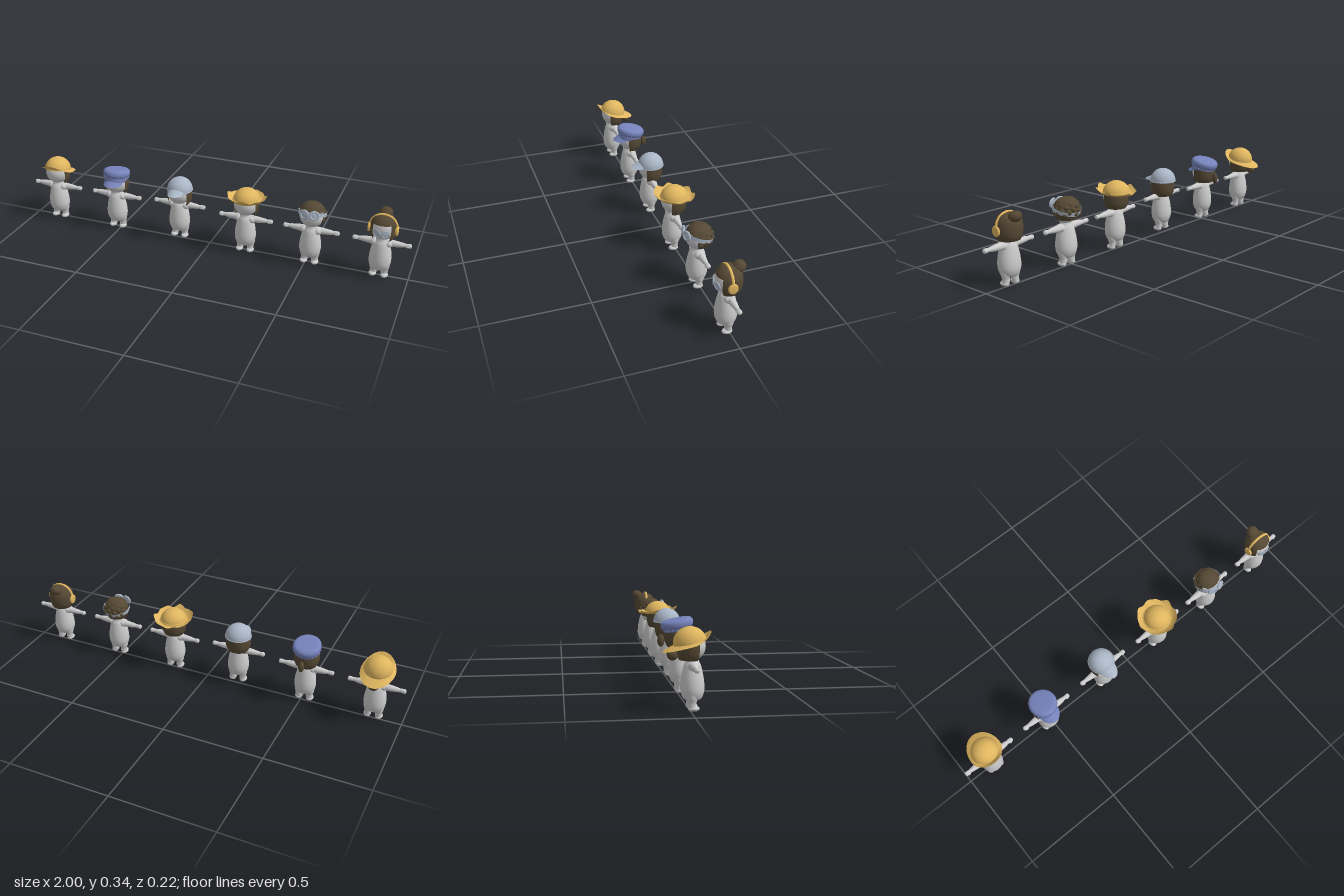
import * as THREE from 'three';

const mat = (color) => new THREE.MeshStandardMaterial({ color, side: THREE.DoubleSide });
const SKIN = mat(0xcccccc), HAIR = mat(0x554834), YELLOW = mat(0xdfb55f), BLUE = mat(0x7683bb), PALE = mat(0xaab6c6);
const PI = Math.PI;

function add(parent, name, geo, material, pos = [0, 0, 0], scale = [1, 1, 1], rot = [0, 0, 0]) {
  const m = new THREE.Mesh(geo, material);
  m.name = name;
  m.position.set(...pos);
  m.scale.set(...scale);
  m.rotation.set(...rot);
  parent.add(m);
  return m;
}
const ball = (parent, name, material, pos, scale, rot) =>
  add(parent, name, new THREE.SphereGeometry(1, 24, 16), material, pos, scale, rot);
const dome = (part) => new THREE.SphereGeometry(1, 28, 14, 0, PI * 2, 0, PI * part);

// smooth turned shape through [radius, height] points
function turned(points, start = 0, length = PI * 2) {
  const curve = new THREE.SplineCurve(points.map(([r, y]) => new THREE.Vector2(r, y)));
  const pts = curve.getPoints(points.length * 4);
  pts.forEach((p) => { p.x = Math.max(p.x, 0); });
  return new THREE.LatheGeometry(pts, 28, start, length);
}

// sheet whose vertices follow fn(u, v) -> [x, y, z]
function sheet(nu, nv, fn) {
  const g = new THREE.PlaneGeometry(1, 1, nu, nv);
  const uv = g.attributes.uv;
  for (let i = 0; i < uv.count; i++) g.attributes.position.setXYZ(i, ...fn(uv.getX(i), uv.getY(i)));
  g.computeVertexNormals();
  return g;
}

// cap peak reaching forward, drooping at its sides
function peak(parent, material, y, reach, width) {
  add(parent, 'capPeak', sheet(20, 6, (u, v) => {
    const a = (u - 0.5) * 2.2, s = Math.sin(a), c = Math.cos(a);
    const out = v * Math.sqrt(Math.max(0, 1 - (2 * u - 1) ** 2));
    return [s * width, y - 0.018 * s * s - 0.02 * out, 0.006 + c * 0.056 + reach * out];
  }), material);
}

function body(g, lift) {
  const b = new THREE.Group();
  b.name = 'body';
  b.position.y = lift;
  g.add(b);
  add(b, 'torso', turned([[0, 0.038], [0.036, 0.046], [0.05, 0.07], [0.053, 0.098], [0.05, 0.13],
    [0.044, 0.16], [0.037, 0.185], [0.028, 0.202], [0.024, 0.225]]), SKIN, [0, 0, 0.01], [1, 1, 0.92]);
  for (const s of [-1, 1]) {
    add(b, 'leg', turned([[0.013, 0.003], [0.0165, 0.02], [0.017, 0.035], [0.022, 0.055], [0.024, 0.08]]),
      SKIN, [s * 0.026, 0, 0.006]);
    ball(b, 'foot', SKIN, [s * 0.028, 0.012, 0.012], [0.018, 0.012, 0.024]);
    ball(b, 'shoulder', SKIN, [s * 0.032, 0.183, 0.01], [0.024, 0.02, 0.024]);
    add(b, 'arm', turned([[0.018, 0], [0.0155, 0.03], [0.012, 0.06], [0.0095, 0.075], [0.011, 0.09], [0.01, 0.1], [0, 0.105]]),
      SKIN, [s * 0.035, 0.184, 0.007], [1, 1, 1], [0, 0, -s * PI / 2]);
    ball(b, 'thumb', SKIN, [s * 0.122, 0.182, 0.015], [0.008, 0.005, 0.006]);
  }
  ball(g, 'head', SKIN, [0, 0.262, 0.008], [0.06, 0.06, 0.055]);
}

// hair around the back and sides, open at the face by angle a on each side
function hair(g, a, hem, topPart = 0.36) {
  add(g, 'hairBack', turned([[0.05, hem], [0.06, hem + 0.022], [0.063, 0.262], [0.057, 0.295], [0.036, 0.319], [0, 0.327]],
    a, PI * 2 - 2 * a), HAIR, [0, 0, 0.003], [1, 1, 0.96]);
  add(g, 'hairTop', dome(topPart), HAIR, [0, 0.263, 0.005], [0.063, 0.063, 0.059]);
}

// wide-brimmed rain hat, raised at the front and drooping behind
function rainHat(g) {
  hair(g, 1.1, 0.207);
  ball(g, 'lowBun', HAIR, [0, 0.228, -0.071], [0.026, 0.024, 0.023]);
  add(g, 'hatCrown', dome(0.5), YELLOW, [0, 0.275, 0.0], [0.067, 0.065, 0.068], [-0.2, 0, 0]);
  add(g, 'hatBrim', sheet(48, 6, (u, v) => {
    const a = u * PI * 2, s = Math.sin(a), c = Math.cos(a);
    const x = s * (0.064 + 0.017 * v), z = c * (0.064 + v * (c > 0 ? 0.022 : 0.046));
    return [x, 0.279 + 0.23 * z + v * (c > 0 ? 0.022 * c * c : -0.016 * c * c) - 0.012 * v * s * s, z];
  }), YELLOW);
}

// tall-fronted peaked cap with a studded band
function peakedCap(g) {
  hair(g, 1.2, 0.207, 0.3);
  ball(g, 'ponytail', HAIR, [0, 0.235, -0.073], [0.014, 0.028, 0.016]);
  const cap = new THREE.Group();
  cap.name = 'peakedCap';
  cap.position.set(0, 0.273, 0.005);
  cap.rotation.x = -0.2;
  g.add(cap);
  add(cap, 'capBand', new THREE.CylinderGeometry(0.062, 0.061, 0.026, 32, 1, true), BLUE, [0, 0.008, 0]);
  add(cap, 'capCrown', turned([[0.061, 0.018], [0.067, 0.03], [0.066, 0.046], [0.055, 0.056], [0.03, 0.058], [0, 0.058]]),
    BLUE, [0, 0, 0], [1, 1, 1.08]);
  for (let i = 0; i < 18; i++) {
    const a = i / 18 * PI * 2;
    ball(cap, 'bandStud', BLUE, [Math.sin(a) * 0.063, 0.017, Math.cos(a) * 0.063], [0.004, 0.004, 0.004]);
  }
  peak(g, BLUE, 0.286, 0.034, 0.058);
}

// round cap with a long peak over long hair
function roundCap(g) {
  hair(g, 0.95, 0.2);
  add(g, 'capDome', dome(0.52), PALE, [0, 0.277, 0], [0.064, 0.063, 0.064]);
  add(g, 'capRim', new THREE.TorusGeometry(0.063, 0.003, 8, 36), PALE, [0, 0.276, 0], [1, 1, 1], [PI / 2, 0, 0]);
  peak(g, PALE, 0.298, 0.046, 0.05);
}

// straw hat with a wavy, ragged brim
function strawHat(g) {
  hair(g, 1.1, 0.207);
  add(g, 'hatCrown', dome(0.5), YELLOW, [0, 0.28, 0], [0.066, 0.06, 0.066]);
  add(g, 'hatBand', new THREE.TorusGeometry(0.066, 0.004, 8, 36), YELLOW, [0, 0.284, 0], [1, 1, 1], [PI / 2, 0, 0]);
  add(g, 'hatBrim', sheet(72, 6, (u, v) => {
    const a = u * PI * 2, wave = Math.sin(a * 7 + 1) + 0.6 * Math.sin(a * 11);
    const r = 0.062 + v * (0.034 + 0.003 * wave);
    const c = Math.cos(a);
    return [Math.sin(a) * r, 0.278 + v * v * (0.02 + 0.005 * wave) + 0.1 * v * c * 0.1, c * r * 1.02];
  }), YELLOW);
}

// curly hair with goggles pushed up on a strap
function gogglesFigure(g) {
  hair(g, 1.15, 0.225, 0.34);
  for (let i = 0; i < 44; i++) {
    const y = 1 - i / 44 * 1.35, r = Math.sqrt(Math.max(0, 1 - y * y)), a = i * 2.39996;
    const x = Math.cos(a) * r, z = Math.sin(a) * r;
    if (z > 0.35 && y < 0.5) continue;
    ball(g, 'curl', HAIR, [x * 0.056, 0.262 + y * 0.052, z * 0.054], [0.014, 0.012, 0.014]);
  }
  add(g, 'goggleStrap', new THREE.CylinderGeometry(0.069, 0.068, 0.02, 40, 1, true), PALE, [0, 0.272, 0.001], [1, 1, 0.96], [-0.28, 0, 0]);
  for (const s of [-1, 1]) {
    add(g, 'goggleRim', new THREE.TorusGeometry(0.018, 0.006, 10, 24), PALE, [s * 0.024, 0.29, 0.069], [1.1, 1, 1], [-0.2, s * 0.3, 0]);
    ball(g, 'goggleLens', PALE, [s * 0.024, 0.29, 0.067], [0.019, 0.017, 0.006], [-0.2, s * 0.3, 0]);
  }
  ball(g, 'goggleBridge', PALE, [0, 0.29, 0.073], [0.01, 0.006, 0.005]);
}

// top bun, headphones and round glasses
function headphonesFigure(g) {
  hair(g, 0.75, 0.207);
  ball(g, 'topBun', HAIR, [0, 0.315, -0.041], [0.031, 0.025, 0.03], [0.4, 0, 0]);
  add(g, 'headband', new THREE.TorusGeometry(0.065, 0.005, 10, 32, PI), YELLOW, [0, 0.263, 0.009], [1, 1, 1.3]);
  for (const s of [-1, 1]) {
    add(g, 'earCup', turned([[0.021, -0.008], [0.024, 0], [0.021, 0.007], [0, 0.009]]), YELLOW,
      [s * 0.063, 0.254, 0.009], [1, 1, 0.92], [0, 0, -s * PI / 2]);
    add(g, 'glassesRim', new THREE.TorusGeometry(0.016, 0.003, 8, 24), PALE, [s * 0.02, 0.252, 0.062], [1, 1, 1], [0, s * 0.35, 0]);
    ball(g, 'glassesLens', PALE, [s * 0.02, 0.252, 0.061], [0.015, 0.015, 0.003], [0, s * 0.35, 0]);
  }
  ball(g, 'glassesBridge', PALE, [0, 0.254, 0.065], [0.007, 0.003, 0.003]);
}

export function createModel() {
  const model = new THREE.Group();
  model.name = 'figureRow';
  const row = [
    ['rainHatFigure', -0.86, rainHat, 0], ['peakedCapFigure', -0.515, peakedCap, 0.003],
    ['roundCapFigure', -0.163, roundCap, 0.014], ['strawHatFigure', 0.19, strawHat, 0],
    ['gogglesFigure', 0.521, gogglesFigure, 0], ['headphonesFigure', 0.86, headphonesFigure, 0],
  ];
  for (const [name, x, dress, lift] of row) {
    const g = new THREE.Group();
    g.name = name;
    g.position.x = x;
    body(g, lift);
    dress(g);
    model.add(g);
  }
  return model;
}
